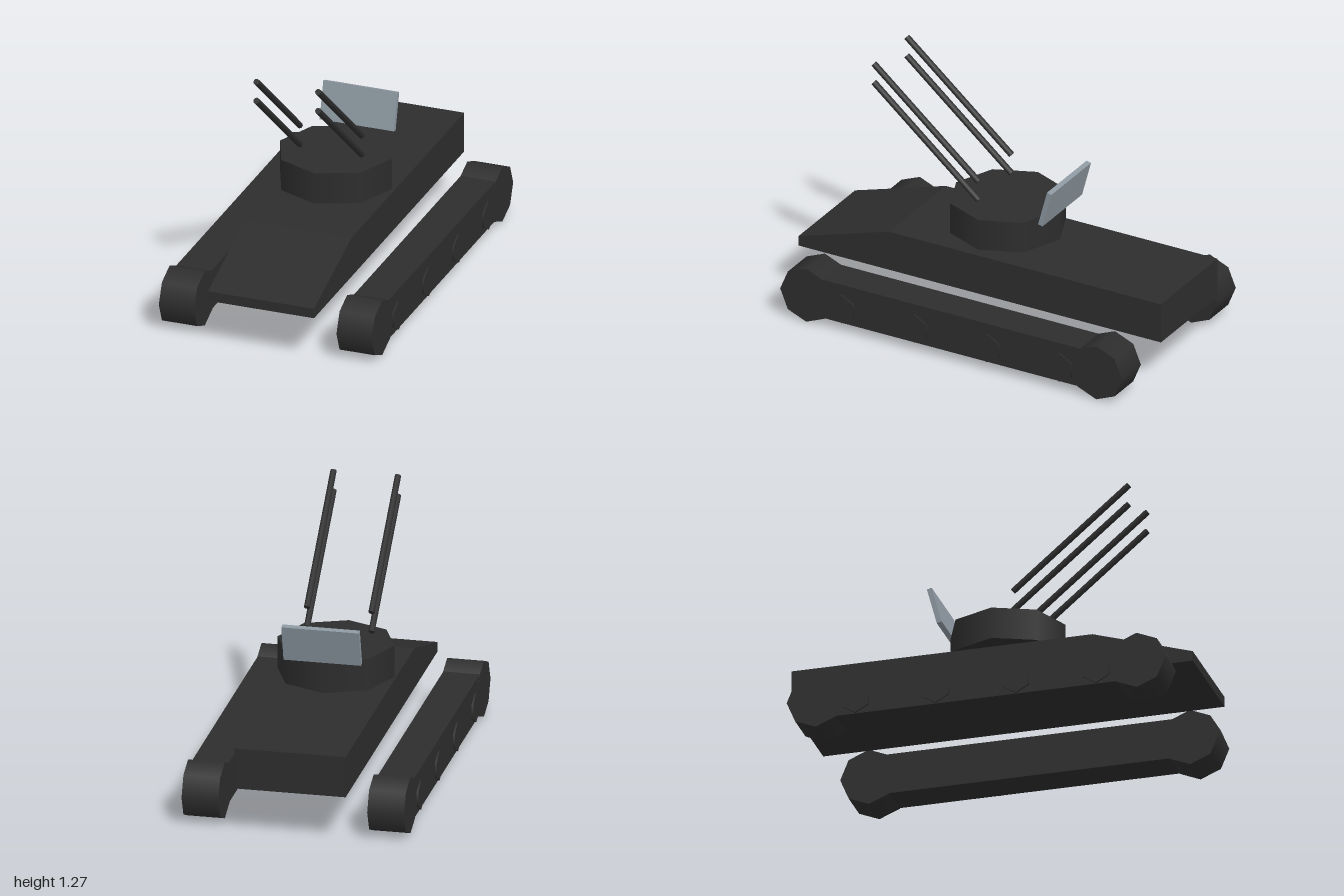
import * as THREE from 'three';

const darkSteel = new THREE.MeshStandardMaterial({ color: 0x2d2d2d });
darkSteel.name = 'darkSteel';
const paleSteel = new THREE.MeshStandardMaterial({ color: 0x8c97a0 });
paleSteel.name = 'paleSteel';

function add(parent, name, geometry, material, x = 0, y = 0, z = 0) {
  const mesh = new THREE.Mesh(geometry, material);
  mesh.name = name;
  mesh.position.set(x, y, z);
  parent.add(mesh);
  return mesh;
}

// Cylinder lying along x, with a corner pointing straight up
function crossCylinder(radius, width, sides) {
  return new THREE.CylinderGeometry(radius, radius, width, sides, 1, false, Math.PI / 2)
    .rotateZ(Math.PI / 2);
}

// Side profile (z, y) extruded across the width
function hullGeometry(halfWidth) {
  const shape = new THREE.Shape([
    [1, 0.235], [1, 0.285], [0.5, 0.44], [-1, 0.44], [-1, 0.235],
  ].map(([z, y]) => new THREE.Vector2(-z, y)));
  return new THREE.ExtrudeGeometry(shape, { depth: halfWidth * 2, bevelEnabled: false })
    .translate(0, 0, -halfWidth)
    .rotateY(Math.PI / 2);
}

function createTrack(side) {
  const track = new THREE.Group();
  track.name = side > 0 ? 'leftTrack' : 'rightTrack';
  const x = side * 0.455;
  add(track, 'trackBody', new THREE.BoxGeometry(0.178, 0.205, 1.6), darkSteel, x, 0.147, 0);
  for (const z of [0.8, -0.8]) {
    add(track, 'endWheel', crossCylinder(0.143, 0.18, 8), darkSteel, x, 0.143, z);
  }
  // Hexagonal hubs on the outer face
  for (const z of [0.6, 0.2, -0.2, -0.6]) {
    add(track, 'roadWheel', crossCylinder(0.075, 0.06, 6), darkSteel, side * 0.523, 0.122, z);
  }
  return track;
}

export function createModel() {
  const model = new THREE.Group();
  model.name = 'antiAircraftTank';

  add(model, 'hull', hullGeometry(0.272), darkSteel);
  add(model, 'turret', new THREE.CylinderGeometry(0.286, 0.286, 0.16, 8), darkSteel, 0, 0.56, 0);

  // Tracks and paired gun barrels, raised forty degrees
  for (const side of [1, -1]) {
    model.add(createTrack(side));
    for (const y of [0.965, 1.065 - 0.2 + 0.0]) {
      const barrel = add(model, 'gunBarrel', new THREE.CylinderGeometry(0.0155, 0.0155, 0.755, 8),
        darkSteel, side * 0.158, y + 0.05, 0.36);
      barrel.rotation.x = THREE.MathUtils.degToRad(50);
    }
  }

  // Radar plate leaning back behind the turret
  const radar = add(model, 'radarPlate', new THREE.BoxGeometry(0.38, 0.19, 0.025), paleSteel,
    0, 0.735, -0.312);
  radar.rotation.x = THREE.MathUtils.degToRad(-15);

  return model;
}
